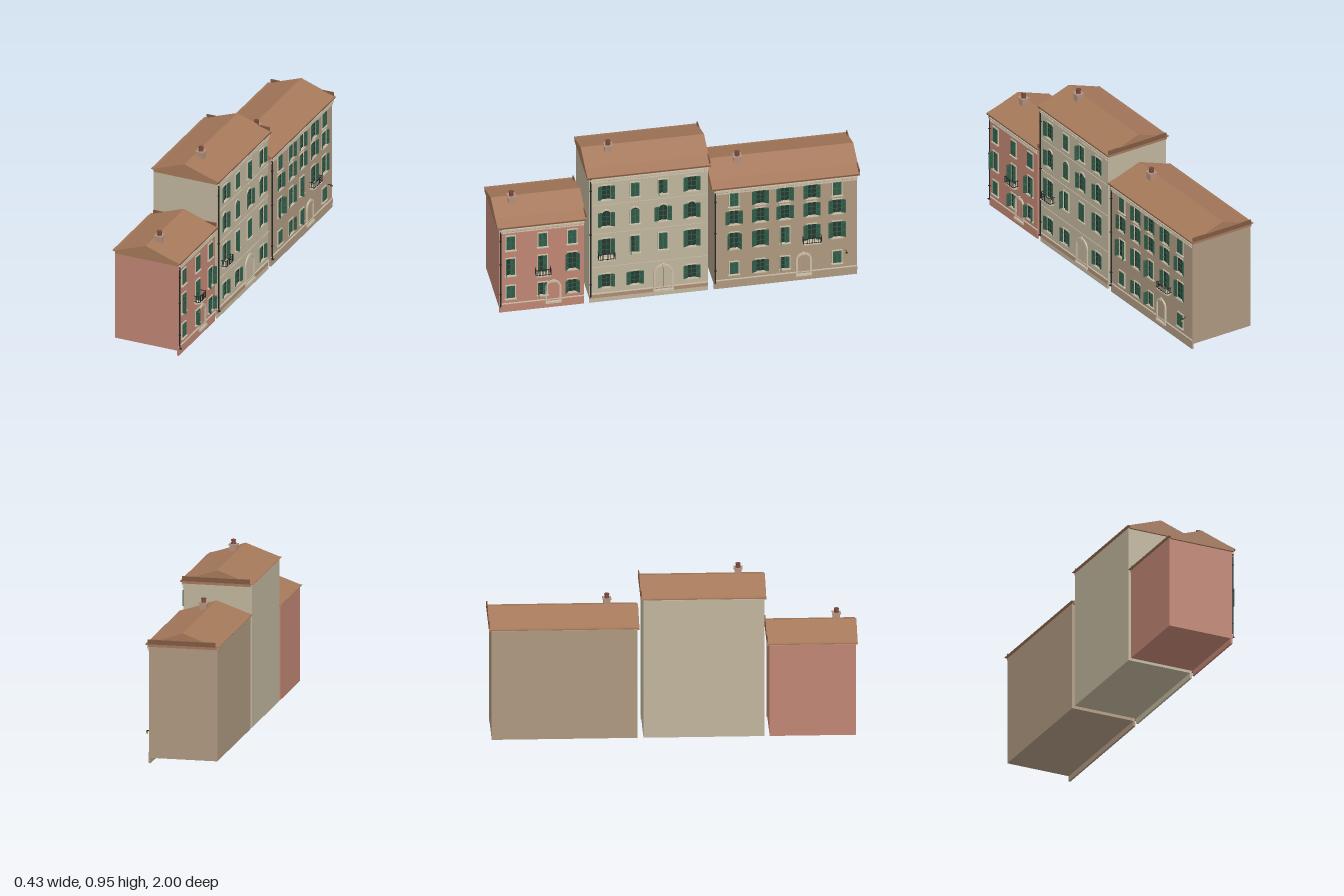
import * as THREE from 'three';

const mat = (color, side = THREE.FrontSide) => new THREE.MeshStandardMaterial({ color, side, flatShading: true });
const M = {
  roof: mat(0xa5785a), roofDark: mat(0x805a42), green: mat(0x37654f), greenDark: mat(0x27493a), glass: mat(0x24382f),
  cream: mat(0xcabfa8), iron: mat(0x1f2422), stack: mat(0xb08f7c), pot: mat(0x75443a), band: mat(0xae8a70), lamp: mat(0xc9a94a),
};
const unit = new THREE.BoxGeometry(1, 1, 1);

function add(parent, name, geo, material, x = 0, y = 0, z = 0) {
  const m = new THREE.Mesh(geo, material);
  m.name = name;
  m.position.set(x, y, z);
  parent.add(m);
  return m;
}
// Box given by its extents on each axis
function box(parent, name, material, x0, x1, y0, y1, z0, z1) {
  const m = add(parent, name, unit, material, (x0 + x1) / 2, (y0 + y1) / 2, (z0 + z1) / 2);
  m.scale.set(x1 - x0, y1 - y0, z1 - z0);
  return m;
}
function group(parent, name, x, y, z) {
  const g = new THREE.Group();
  g.name = name;
  g.position.set(x, y, z);
  parent.add(g);
  return g;
}

// Louvred shutter leaf hinged at its local origin, reaching along dir
function shutter(parent, dir, w, h, x, angle) {
  const g = group(parent, 'shutter', x, 0, 0.006);
  g.rotation.y = -dir * angle;
  const b = (mt, x0, x1, y0, y1, z0, z1, n) => box(g, n, mt, Math.min(dir * x0, dir * x1), Math.max(dir * x0, dir * x1), y0, y1, z0, z1);
  b(M.greenDark, 0.002, w - 0.002, -h / 2, h / 2, -0.0008, 0.0008, 'shutterPanel');
  b(M.green, 0, 0.0035, -h / 2, h / 2, -0.002, 0.002, 'stile');
  b(M.green, w - 0.0035, w, -h / 2, h / 2, -0.002, 0.002, 'stile');
  for (const y of [-h / 2, -0.002, h / 2 - 0.004]) b(M.green, 0, w, y, y + 0.004, -0.002, 0.002, 'shutterRail');
  for (let y = -h / 2 + 0.008; y < h / 2 - 0.006; y += 0.007) b(M.green, 0.003, w - 0.003, y, y + 0.003, -0.0016, 0.0016, 'slat');
}

// Opening outline, flat or round-headed
function outline(Type, w, h, arched) {
  const s = new Type(), r = w / 2;
  s.moveTo(-r, -h / 2);
  s.lineTo(r, -h / 2);
  if (arched) s.absarc(0, h / 2 - r * arched, r, 0, Math.PI, false);
  else { s.lineTo(r, h / 2); s.lineTo(-r, h / 2); }
  s.closePath();
  return s;
}

// state: o open flat, p half open, c closed, h one leaf closed
function windowUnit(parent, x, y, h, state, arched, w = 0.046) {
  const g = group(parent, 'window', x, y, 0);
  const surround = outline(THREE.Shape, w + 0.012, h + 0.012, arched);
  surround.holes.push(outline(THREE.Path, w, h, arched));
  add(g, 'windowSurround', new THREE.ExtrudeGeometry(surround, { depth: 0.005, bevelEnabled: false, curveSegments: 8 }), M.cream);
  add(g, 'glass', new THREE.ShapeGeometry(outline(THREE.Shape, w, h, arched), 8), M.glass, 0, 0, 0.001);
  box(g, 'mullion', M.green, -0.0015, 0.0015, -h / 2, h / 2, 0.001, 0.003);
  for (const t of [-0.2, 0.15]) box(g, 'glazingBar', M.green, -w / 2, w / 2, t * h, t * h + 0.002, 0.001, 0.003);
  box(g, 'sill', M.cream, -w / 2 - 0.01, w / 2 + 0.01, -h / 2 - 0.01, -h / 2 - 0.004, 0, 0.011);
  for (const s of [-1, 1]) {
    const closed = state === 'c' || (state === 'h' && s > 0);
    const angle = state === 'o' ? 0.28 : state === 'p' ? 0.9 : state === 'h' ? 1.45 : 0;
    if (closed) shutter(g, -s, w / 2, h - 0.002, s * w / 2, 0);
    else shutter(g, s, w / 2 + 0.002, h, s * w / 2, angle);
  }
}

// Round-headed door surround with a planked leaf and step
function door(parent, x, w, top, wall) {
  const h = top - 0.035, g = group(parent, 'door', x, 0.035 + h / 2, 0);
  const s = outline(THREE.Shape, w, h, 1);
  s.holes.push(outline(THREE.Path, w - 0.02, h - 0.02, 1));
  add(g, 'doorSurround', new THREE.ExtrudeGeometry(s, { depth: 0.008, bevelEnabled: false, curveSegments: 12 }), M.cream);
  add(g, 'doorLeaf', new THREE.ShapeGeometry(outline(THREE.Shape, w - 0.02, h - 0.02, 1), 12), wall, 0, 0, 0.002);
  box(g, 'keystone', M.cream, -0.005, 0.005, h / 2 - 0.012, h / 2 + 0.005, 0, 0.011);
  box(g, 'doorJoint', M.band, -0.001, 0.001, -h / 2 + 0.01, h / 2 - 0.014, 0.002, 0.003);
  box(g, 'doorStep', M.cream, -w / 2, w / 2, -h / 2 - 0.003, -h / 2 + 0.008, 0, 0.014);
}

function balcony(parent, x, y, w, h = 0.045) {
  const g = group(parent, 'balcony', x, y, 0), r = w / 2, d = 0.034;
  box(g, 'balconySlab', M.cream, -r, r, -0.006, 0, 0, d + 0.002);
  for (const s of [-1, 1]) {
    box(g, 'bracket', M.cream, s * r * 0.7 - 0.003, s * r * 0.7 + 0.003, -0.018, -0.006, 0, 0.018);
    for (const z of [0.006, 0.015, 0.024]) box(g, 'sideBaluster', M.iron, s * r - 0.001, s * r + 0.001, 0, h, z, z + 0.0015);
    for (const t of [0.006, h]) box(g, 'sideRail', M.iron, s * r - 0.0013, s * r + 0.0013, t - 0.003, t, 0, d);
  }
  for (const t of [0.006, h]) box(g, 'frontRail', M.iron, -r, r, t - 0.003, t, d - 0.002, d);
  for (let i = 0; i <= 10; i++) {
    const px = -r + w * i / 10;
    box(g, 'baluster', M.iron, px - 0.0008, px + 0.0008, 0, h, d - 0.002, d);
  }
}

function house(parent, o) {
  const g = group(parent, o.name, 0, 0, 0), wall = mat(o.color), { z0, z1, ridge: R } = o;
  box(g, 'walls', wall, -0.205, 0.175, 0.03, R - 0.08, z0, z1);
  box(g, 'plinthFoot', wall, 0.166, 0.177, 0, 0.035, z0, z1);
  box(g, 'plinthBand', o.band ? M.band : wall, 0.17, 0.1785, 0.028, 0.052, z0, z1);
  box(g, 'plinthMoulding', M.cream, 0.17, 0.181, 0.052, 0.057, z0, z1);

  // Gabled roof extruded along the street
  const profile = [[-0.2, R - 0.084], [0.18, R - 0.084], [0.18, R - 0.072], [0.188, R - 0.071], [0.188, R - 0.067],
    [0.12, R - 0.047], [-0.015, R], [-0.198, R - 0.065], [-0.215, R - 0.068], [-0.215, R - 0.071], [-0.2, R - 0.072]];
  const shape = new THREE.Shape(profile.map(p => new THREE.Vector2(...p)));
  const len = z1 - z0 + 0.025;
  add(g, 'roof', new THREE.ExtrudeGeometry(shape, { depth: len, bevelEnabled: false }), M.roof, 0, 0, z0 - 0.014);
  box(g, 'roofEndBoard', M.roofDark, -0.198, 0.18, R - 0.07, R - 0.044, z0 - 0.0145, z0 - 0.008);

  // Chimney with a pot
  const c = group(g, 'chimney', 0.018, R, o.chimney);
  box(c, 'stack', M.stack, -0.019, 0.019, -0.03, 0.024, -0.019, 0.019);
  box(c, 'stackCap', M.stack, -0.024, 0.024, 0.019, 0.025, -0.024, 0.024);
  add(c, 'pot', new THREE.CylinderGeometry(0.011, 0.014, 0.02, 12), M.pot, 0, 0.034, 0);
  add(c, 'potRim', new THREE.CylinderGeometry(0.014, 0.014, 0.006, 12), M.pot, 0, 0.046, 0);

  // Street front: local x runs towards -z, local z points outwards
  const f = group(g, 'facade', 0.176, 0, 0);
  f.rotation.y = Math.PI / 2;
  box(f, 'cornice', M.cream, -z1, -z0, R - 0.094, R - 0.084, 0, 0.01);
  box(f, 'corniceBase', M.cream, -z1, -z0, R - 0.111, R - 0.107, 0, 0.005);
  for (let x = -z1 + 0.006; x < -z0 - 0.006; x += 0.014) box(f, 'dentil', M.cream, x, x + 0.007, R - 0.104, R - 0.094, 0, 0.008);
  for (const y of o.courses) box(f, 'stringCourse', wall, -z1, -z0, y, y + 0.005, 0, 0.004);
  box(f, 'gutter', M.roofDark, -z1 - 0.01, -z0 + 0.013, R - 0.075, R - 0.068, 0.006, 0.014);
  add(f, 'downpipe', new THREE.CylinderGeometry(0.004, 0.004, R - 0.12, 8), M.iron, -z1 + 0.007, (R - 0.12) / 2 + 0.045, 0.005);
  const spout = add(f, 'spout', new THREE.CylinderGeometry(0.004, 0.004, 0.014, 8), M.iron, -z1 + 0.007, 0.042, 0.009);
  spout.rotation.x = 1.1;
  for (const y of [0.12, R * 0.5, R - 0.16]) box(f, 'pipeBracket', M.iron, -z1 + 0.001, -z1 + 0.013, y, y + 0.004, 0, 0.01);

  for (const [y, h, states, arched] of o.rows)
    [...states].forEach((s, i) => s !== '-' && windowUnit(f, -o.columns[i], y, h, s, arched));
  door(f, -o.door[0], o.door[1], o.door[2], wall);
  balcony(f, -o.balcony[0], o.balcony[1], o.balcony[2], o.balcony[3]);
  return f;
}

export function createModel() {
  const model = new THREE.Group();
  model.name = 'townhouseRow';
  house(model, {
    name: 'smallHouse', color: 0xc08573, z0: 0.522, z1: 0.989, ridge: 0.632, chimney: 0.893, courses: [],
    columns: [0.927, 0.75, 0.588], door: [0.692, 0.088, 0.18], balcony: [0.75, 0.235, 0.082, 0.04],
    rows: [[0.455, 0.086, 'ccc'], [0.297, 0.106, 'hhp'], [0.132, 0.078, 'chp']],
  });
  house(model, {
    name: 'tallHouse', color: 0xc0b59d, z0: -0.162, z1: 0.493, ridge: 0.9, chimney: 0.36, band: true, courses: [0.225, 0.445, 0.635],
    columns: [0.4, 0.241, 0.086, -0.072], door: [0.084, 0.112, 0.205], balcony: [0.4, 0.293, 0.09, 0.04],
    rows: [[0.722, 0.088, 'ocho'], [0.545, 0.092, 'ocoo', 0.6], [0.362, 0.105, 'ohco'], [0.14, 0.082, 'oo-o']],
  });
  const f = house(model, {
    name: 'wideHouse', color: 0xae9880, z0: -0.985, z1: -0.195, ridge: 0.735, chimney: -0.352, courses: [],
    columns: [-0.305, -0.45, -0.586, -0.734, -0.873], door: [-0.69, 0.088, 0.18], balcony: [-0.734, 0.255, 0.1, 0.035],
    rows: [[0.583, 0.085, 'coooc'], [0.466, 0.085, 'ooooo'], [0.313, 0.1, 'pohoo'], [0.13, 0.076, 'coh-c']],
  });
  // Wall lantern
  const lantern = group(f, 'lantern', 0.922, 0.155, 0.024);
  box(lantern, 'lanternArm', M.iron, -0.0015, 0.0015, 0.01, 0.013, -0.024, 0.002);
  add(lantern, 'lanternGlass', new THREE.CylinderGeometry(0.006, 0.004, 0.015, 6), M.lamp);
  add(lantern, 'lanternCap', new THREE.ConeGeometry(0.008, 0.006, 6), M.iron, 0, 0.01, 0);
  return model;
}
